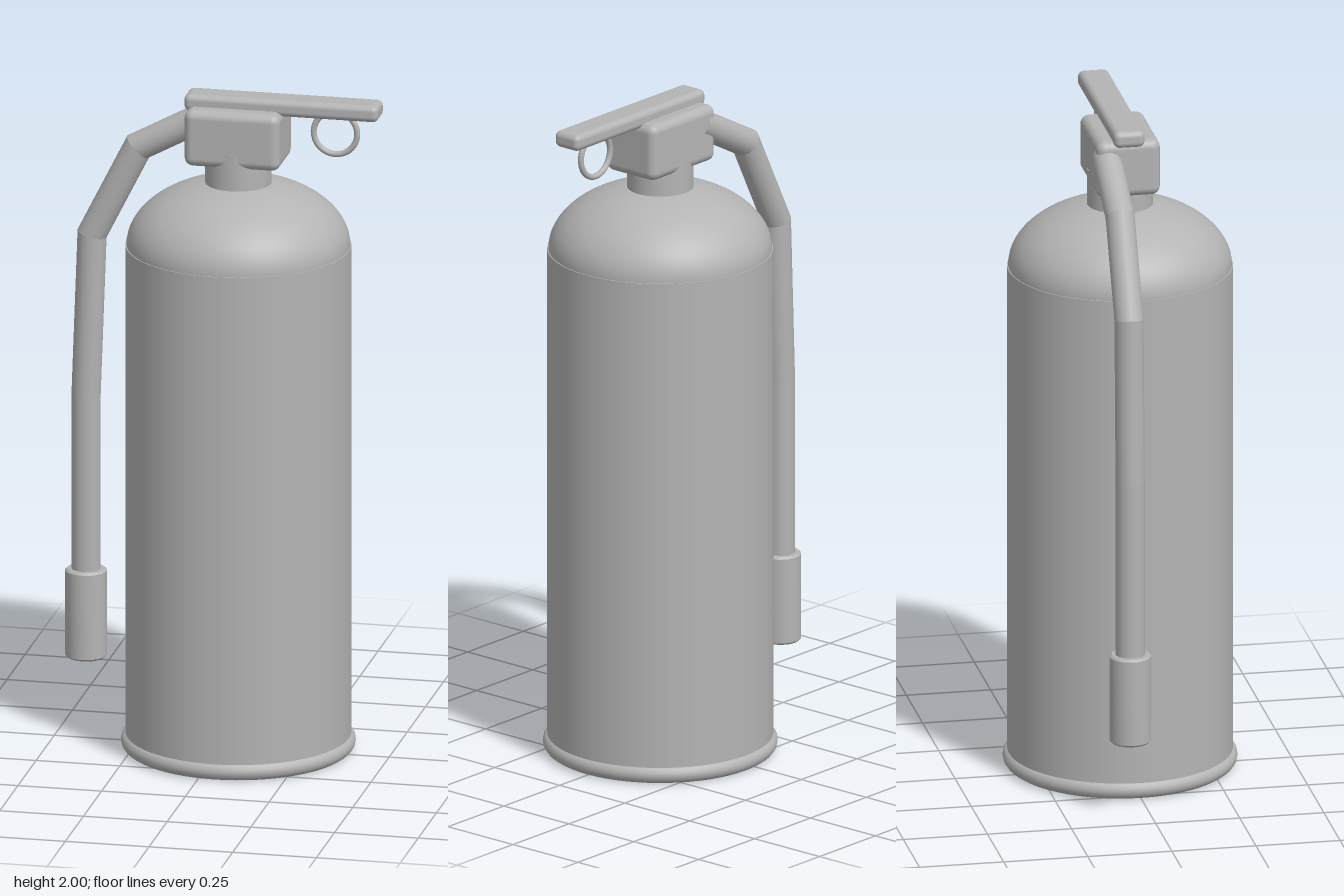
import * as THREE from 'three';
import { toCreasedNormals } from 'three/addons/utils/BufferGeometryUtils.js';
import { RoundedBoxGeometry } from 'three/addons/geometries/RoundedBoxGeometry.js';

const TANK_X = 0.05;
const HOSE_Z = -0.06;

export function createModel() {
  const model = new THREE.Group();
  model.name = 'fireExtinguisher';
  const grey = new THREE.MeshStandardMaterial({ name: 'grey', color: 0xb4b4b4 });

  const add = (name, geometry, x, y, z, parent = model) => {
    const mesh = new THREE.Mesh(geometry, grey);
    mesh.name = name;
    mesh.position.set(x, y, z);
    parent.add(mesh);
    return mesh;
  };
  const lathe = (points, sides) => toCreasedNormals(
    new THREE.LatheGeometry(points.map(([r, y]) => new THREE.Vector2(r, y)), sides), 0.5);

  // Tank: straight body, domed shoulder, rolled foot ring and neck
  add('tankBody', new THREE.CylinderGeometry(0.33, 0.33, 1.51, 64), TANK_X, 0.785, 0);
  const dome = new THREE.SphereGeometry(0.327, 64, 20, 0, Math.PI * 2, 0, Math.PI / 2);
  dome.scale(1, 0.2 / 0.327, 1);
  add('shoulderDome', dome, TANK_X, 1.54, 0);
  const foot = new THREE.TorusGeometry(0.316, 0.027, 16, 64);
  foot.rotateX(Math.PI / 2);
  add('footRing', foot, TANK_X, 0.027, 0);
  add('neck', new THREE.CylinderGeometry(0.097, 0.097, 0.14, 40), TANK_X, 1.77, 0);

  // Valve block, squeeze handle and safety pin ring
  add('valveBlock', new RoundedBoxGeometry(0.286, 0.172, 0.19, 4, 0.026), 0.048, 1.881, 0);
  add('handle', new RoundedBoxGeometry(0.58, 0.05, 0.092, 4, 0.018), 0.185, 1.975, 0);
  add('pinRing', new THREE.TorusGeometry(0.065, 0.009, 12, 40), 0.34, 1.9, 0);

  // Hose: straight tubes whose ends are sheared to meet in mitred joints
  const hose = new THREE.Group();
  hose.name = 'hose';
  model.add(hose);
  const path = [[-0.05, 1.914], [-0.262, 1.8], [-0.4, 1.525], [-0.418, 1.03], [-0.418, 0.45]]
    .map(([x, y]) => new THREE.Vector2(x, y));
  const headings = path.slice(1).map((p, i) => Math.atan2(p.y - path[i].y, p.x - path[i].x));
  const mitre = (i) => (i > 0 && i < headings.length
    ? Math.tan((headings[i] - headings[i - 1]) / 2) : 0);
  headings.forEach((angle, i) => {
    const a = path[i], b = path[i + 1];
    const tube = new THREE.CylinderGeometry(0.043, 0.043, a.distanceTo(b), 20, 1, i > 0);
    const pos = tube.attributes.position;
    for (let v = 0; v < pos.count; v++) {
      const x = pos.getX(v), y = pos.getY(v);
      pos.setY(v, y + x * (y > 0 ? mitre(i + 1) : -mitre(i)));
    }
    const mesh = add('hoseSection', tube, (a.x + b.x) / 2, (a.y + b.y) / 2, HOSE_Z, hose);
    mesh.rotation.z = angle - Math.PI / 2;
  });

  // Nozzle with softened rims
  add('nozzle', lathe([[0, 0], [0.055, 0], [0.061, 0.006], [0.061, 0.264],
    [0.055, 0.27], [0, 0.27]], 32), -0.418, 0.23, HOSE_Z);

  return model;
}
